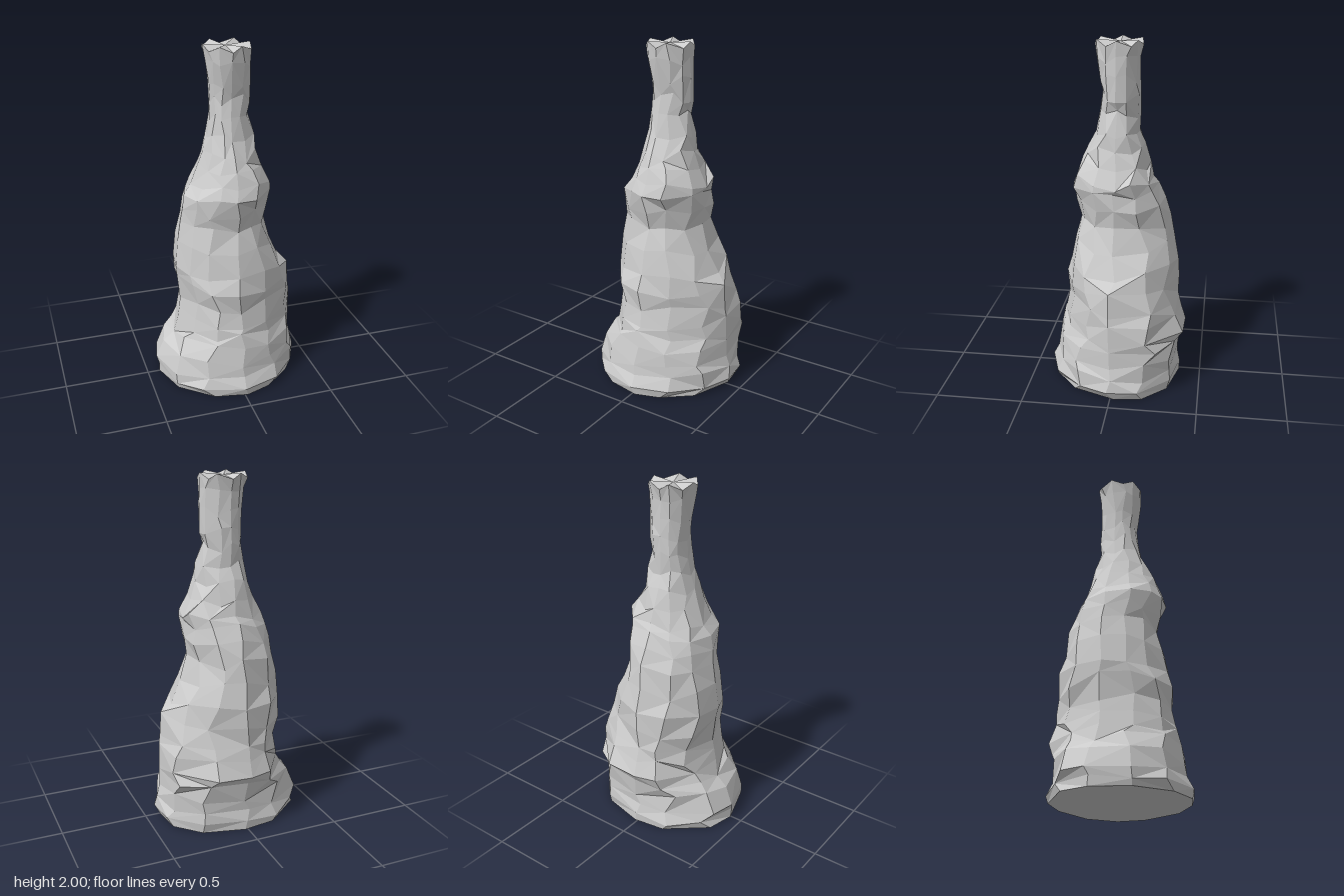
import * as THREE from 'three';

const SIDES = 12;

// Cross-sections from the ground up: [y, right extent -x, left +x, back extent -z, front +z]
const RINGS = [
  [0.00, 0.425, 0.405, 0.37, 0.39],
  [0.045, 0.43, 0.435, 0.37, 0.405],
  [0.12, 0.44, 0.42, 0.355, 0.37],
  [0.20, 0.39, 0.41, 0.36, 0.365],
  [0.28, 0.33, 0.40, 0.375, 0.345],
  [0.35, 0.305, 0.40, 0.40, 0.325],
  [0.43, 0.29, 0.40, 0.375, 0.315],
  [0.52, 0.28, 0.395, 0.355, 0.295],
  [0.62, 0.30, 0.385, 0.355, 0.31],
  [0.72, 0.305, 0.33, 0.355, 0.28],
  [0.85, 0.29, 0.265, 0.325, 0.255],
  [0.98, 0.275, 0.225, 0.30, 0.215],
  [1.08, 0.26, 0.235, 0.27, 0.245],
  [1.18, 0.25, 0.235, 0.23, 0.26],
  [1.23, 0.21, 0.245, 0.205, 0.235],
  [1.31, 0.16, 0.20, 0.185, 0.21],
  [1.40, 0.135, 0.165, 0.15, 0.175],
  [1.50, 0.11, 0.155, 0.12, 0.13],
  [1.60, 0.095, 0.12, 0.125, 0.105],
  [1.70, 0.09, 0.14, 0.125, 0.09],
  [1.80, 0.095, 0.14, 0.12, 0.105],
  [1.90, 0.115, 0.135, 0.12, 0.125],
  [2.00, 0.13, 0.135, 0.135, 0.13],
];

// Fullness of the front-left and back-left corners, ring by ring (2 is an ellipse)
const LEFT_CORNERS = [
  [1.8, 2.5], [1.8, 2.5], [1.8, 2.7], [1.8, 2.9], [1.75, 3.1],
  [1.75, 3.1], [1.65, 2.9], [1.55, 2.3], [1.65, 1.95], [2.05, 2.0],
  [2.0, 2.15], [1.7, 2.2], [1.75, 2.45], [2.35, 2.7], [2.35, 2.6],
];

// Small seeded generator returning -1..1
function seeded(seed) {
  let s = seed;
  return () => {
    s = (s * 16807) % 2147483647;
    return (s / 2147483647) * 2 - 1;
  };
}

// Squareness of a ring's outline in the quadrant of (c, s)
function squareness(c, s, ring) {
  if (c > 0) return (LEFT_CORNERS[ring] ?? [2.1, 2.1])[s > 0 ? 0 : 1];
  return s > 0 ? 1.92 : 2.15;
}

function createRockGeometry() {
  const rand = seeded(4271);
  const positions = [];
  const index = [];
  const last = RINGS.length - 1;

  // Rough rings, with a jagged rim at the top
  RINGS.forEach(([y, right, left, back, front], i) => {
    for (let j = 0; j < SIDES; j++) {
      const onAxis = j % 3 === 0;
      const a = (j / SIDES) * Math.PI * 2 + rand() * (onAxis ? 0.05 : 0.12);
      const c = Math.cos(a), s = Math.sin(a);
      const n = squareness(c, s, i);
      const swell = Math.pow(Math.abs(c) ** n + Math.abs(s) ** n, -1 / n);
      const r = swell * (1.005 + rand() * (onAxis ? 0.012 : 0.035));
      let lift = rand() * 0.032;
      if (i === 0) lift = 0;
      else if (i === 1) lift *= 0.5;
      else if (i === last) lift = j % 2 ? -0.03 : 0;
      positions.push(c * r * (c > 0 ? left : right), y + lift, s * r * (s > 0 ? front : back));
    }
  });

  // Walls
  for (let i = 0; i < last; i++) {
    for (let j = 0; j < SIDES; j++) {
      const k = (j + 1) % SIDES;
      const a = i * SIDES + j, b = i * SIDES + k;
      const c = a + SIDES, d = b + SIDES;
      if ((i + j) % 2) index.push(b, a, c, b, c, d);
      else index.push(b, a, d, a, c, d);
    }
  }

  // Flat base and fluted top
  const baseCentre = positions.length / 3;
  positions.push(0, 0, 0, 0, 1.985, -0.01);
  for (let j = 0; j < SIDES; j++) {
    const k = (j + 1) % SIDES;
    index.push(baseCentre, j, k);
    index.push(baseCentre + 1, last * SIDES + k, last * SIDES + j);
  }

  const indexed = new THREE.BufferGeometry();
  indexed.setAttribute('position', new THREE.Float32BufferAttribute(positions, 3));
  indexed.setIndex(index);
  const geometry = indexed.toNonIndexed();
  geometry.computeVertexNormals();
  return geometry;
}

export function createModel() {
  const group = new THREE.Group();
  group.name = 'rockSpire';
  const stone = new THREE.MeshStandardMaterial({ color: 0xcccccc, flatShading: true });
  stone.name = 'paleStone';
  const spire = new THREE.Mesh(createRockGeometry(), stone);
  spire.name = 'stoneSpire';
  group.add(spire);
  return group;
}
